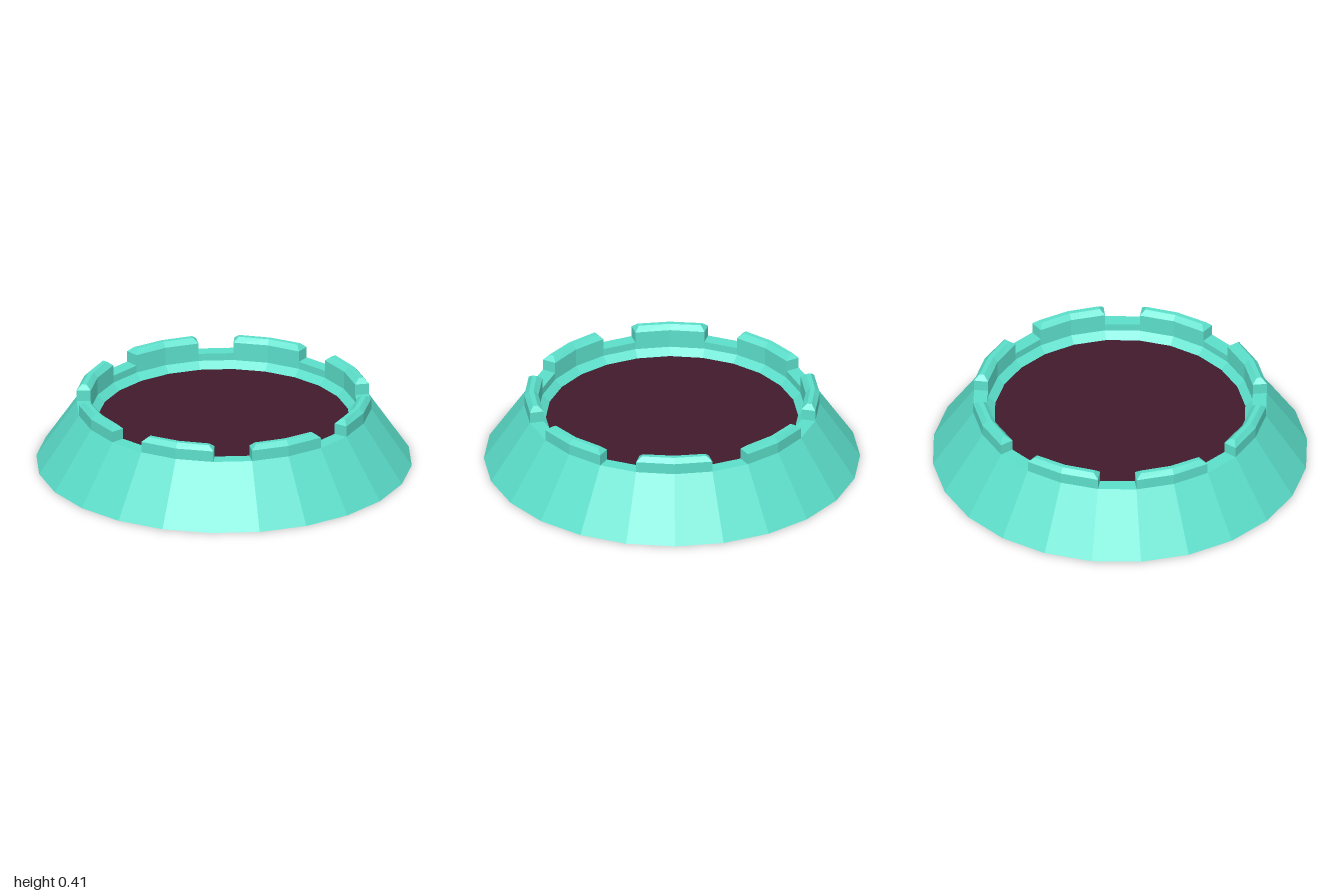
import * as THREE from 'three';

const SIDES = 24;
const R_OUT = 0.785, R_IN = 0.71;
const Y_RIM = 0.32, Y_SHOULDER = 0.38, Y_TOP = 0.405, Y_FLOOR = 0.245;

// Curved block two facets wide, with its top edges bevelled
function merlonGeometry() {
  const levels = [
    { y: Y_RIM, out: R_OUT, inn: R_IN, half: 15 },
    { y: Y_SHOULDER, out: R_OUT, inn: R_IN, half: 15 },
    { y: Y_TOP, out: 0.76, inn: 0.735, half: 13 },
  ];
  const pos = [], index = [];
  for (const { y, out, inn, half } of levels) {
    // outline: outer face left to right, then inner face back again
    const outline = [[out, -half], [out, 0], [out, half], [inn, half], [inn, 0], [inn, -half]];
    for (const [r, deg] of outline) {
      const a = THREE.MathUtils.degToRad(deg);
      pos.push(r * Math.sin(a), y, r * Math.cos(a));
    }
  }
  const quad = (a, b, c, d) => index.push(a, b, c, a, c, d);
  for (let l = 0; l < 2; l++) {
    for (let i = 0; i < 6; i++) {
      const j = (i + 1) % 6, lo = l * 6, hi = lo + 6;
      quad(lo + i, lo + j, hi + j, hi + i);
    }
  }
  // top cap
  quad(12, 13, 16, 17);
  quad(13, 14, 15, 16);
  const g = new THREE.BufferGeometry();
  g.setAttribute('position', new THREE.Float32BufferAttribute(pos, 3));
  g.setIndex(index);
  const flat = g.toNonIndexed();
  flat.computeVertexNormals();
  return flat;
}

export function createModel() {
  const group = new THREE.Group();
  group.name = 'crenellatedRing';
  const teal = new THREE.MeshStandardMaterial({ color: 0x5cdfcb, flatShading: true, side: THREE.DoubleSide });
  const dark = new THREE.MeshStandardMaterial({ color: 0x421b2c, flatShading: true, side: THREE.DoubleSide });

  // Sloping wall, flat rim, inner wall and sloping ledge
  const profile = [[1, 0], [R_OUT, Y_RIM], [R_IN, Y_RIM], [R_IN, 0.28], [0.67, Y_FLOOR]]
    .map(([r, y]) => new THREE.Vector2(r, y));
  const wall = new THREE.Mesh(new THREE.LatheGeometry(profile, SIDES), teal);
  wall.name = 'wall';
  group.add(wall);

  // Dark floor inside the ring
  const floor = new THREE.Mesh(new THREE.CircleGeometry(0.67, SIDES).rotateX(-Math.PI / 2), dark);
  floor.name = 'floor';
  floor.position.y = Y_FLOOR;
  group.add(floor);

  // Eight merlons, one every 45 degrees
  const geometry = merlonGeometry();
  for (let i = 0; i < 8; i++) {
    const merlon = new THREE.Mesh(geometry, teal);
    merlon.name = 'merlon' + (i + 1);
    merlon.rotation.y = i * Math.PI / 4;
    group.add(merlon);
  }
  return group;
}
